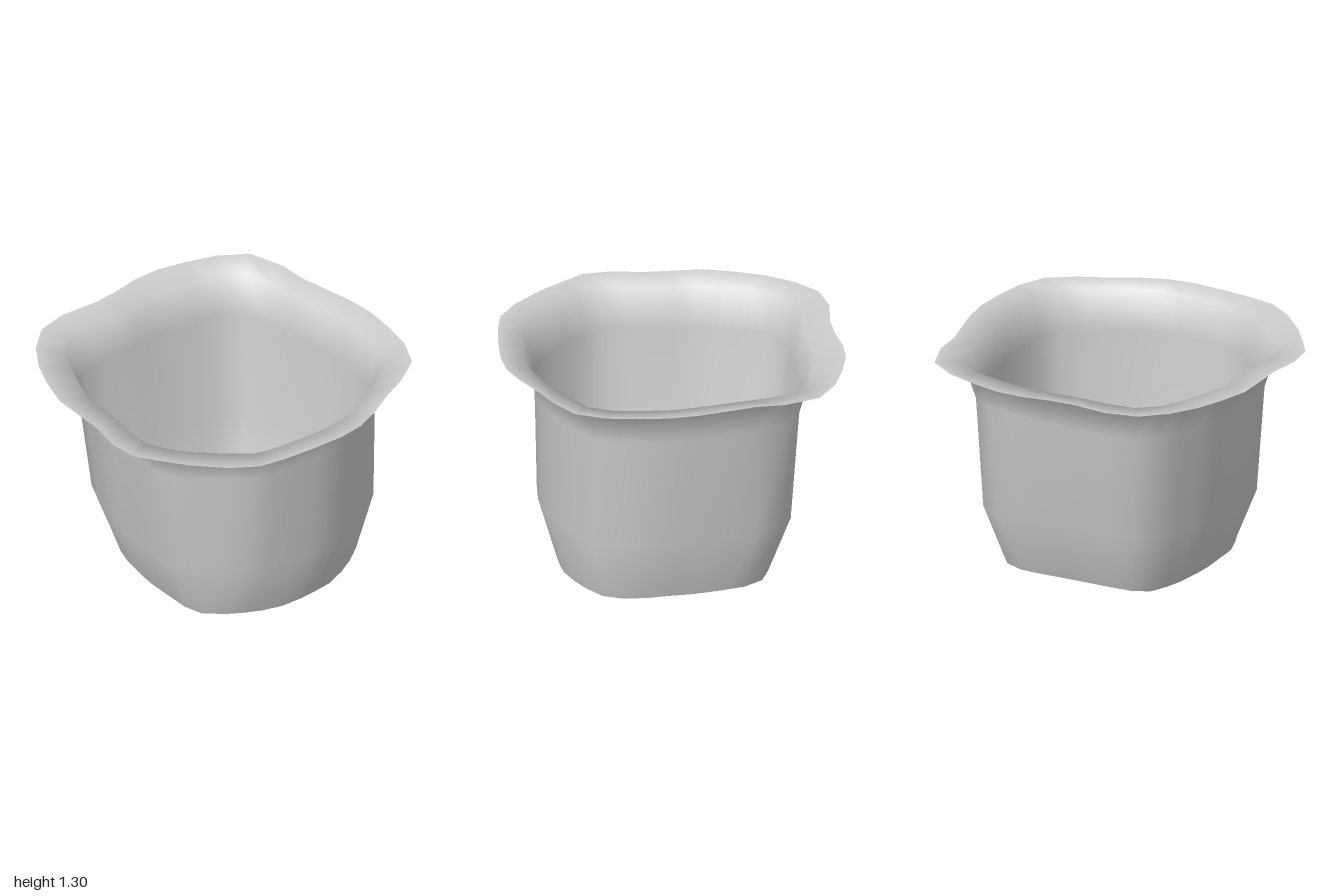
import * as THREE from 'three';

// Outlines as x, z pairs running around the cup
const BASE = [-0.48, -0.52, -0.39, -0.6, -0.19, -0.64, -0.04, -0.66, 0.12, -0.66, 0.28, -0.67, 0.4, -0.65,
  0.5, -0.59, 0.58, -0.45, 0.64, -0.31, 0.66, -0.22, 0.66, 0.04, 0.64, 0.14, 0.59, 0.26, 0.51, 0.39,
  0.4, 0.51, 0.28, 0.54, -0.05, 0.53, -0.34, 0.47, -0.49, 0.39, -0.53, 0.28, -0.52, -0.13, -0.52, -0.4];
const NECK = [-0.57, -0.69, -0.28, -0.75, 0, -0.78, 0.15, -0.79, 0.42, -0.75, 0.56, -0.68, 0.7, -0.42,
  0.78, -0.18, 0.78, -0.02, 0.75, 0.25, 0.71, 0.39, 0.42, 0.69, 0.28, 0.76, 0.14, 0.75, -0.02, 0.73,
  -0.27, 0.71, -0.66, 0.54, -0.76, 0.4, -0.75, 0.08, -0.75, -0.19, -0.66, -0.6];
const RIM = [-0.74, -0.87, -0.53, -0.93, -0.36, -0.93, -0.19, -0.96, -0.02, -0.99, 0.15, -1, 0.33, -0.98,
  0.52, -0.94, 0.69, -0.85, 0.79, -0.68, 0.85, -0.52, 0.93, -0.35, 0.98, -0.2, 0.99, -0.04, 0.97, 0.16,
  0.94, 0.35, 0.9, 0.51, 0.79, 0.66, 0.62, 0.81, 0.47, 0.91, 0.34, 0.99, 0.17, 1, -0.01, 0.96,
  -0.19, 0.95, -0.36, 0.94, -0.53, 0.88, -0.7, 0.8, -0.85, 0.69, -0.97, 0.54, -1, 0.35, -0.97, 0.13,
  -0.97, -0.02, -0.99, -0.19, -0.98, -0.36, -0.93, -0.53, -0.86, -0.71];

// Distance from the axis to an outline in a given direction
function radiusAt(outline, angle) {
  const dx = Math.cos(angle), dz = Math.sin(angle), n = outline.length;
  for (let i = 0; i < n; i += 2) {
    const ax = outline[i], az = outline[i + 1];
    const bx = outline[(i + 2) % n], bz = outline[(i + 3) % n];
    const sideA = dx * az - dz * ax, sideB = dx * bz - dz * bx;
    if (sideA <= 0 && sideB > 0) {
      const t = sideA / (sideA - sideB);
      return (ax + (bx - ax) * t) * dx + (az + (bz - az) * t) * dz;
    }
  }
  return 0;
}

export function createModel() {
  const cup = new THREE.Group();
  cup.name = 'cup';
  const grey = new THREE.MeshStandardMaterial({ color: 0xcccccc, side: THREE.DoubleSide });
  grey.name = 'grey';

  const angles = [];
  for (let i = 0; i < RIM.length; i += 2) angles.push(Math.atan2(RIM[i + 1], RIM[i]));
  const count = angles.length;
  const mix = THREE.MathUtils.lerp;

  // Heights and radii of the cross-sections, from base to rim
  const base = a => radiusAt(BASE, a);
  const neck = a => radiusAt(NECK, a);
  const rim = a => radiusAt(RIM, a - 1e-6);
  const belly = a => mix(base(a), neck(a), 0.78 + 0.12 * Math.cos(a) - 0.085 * Math.sin(a));
  const lip = a => mix(neck(a), rim(a), 0.29);
  const sections = [[0, base], [0.375, belly], [1.05, neck], [1.28, lip], [1.3, rim]];

  // Smooth wall and flared rim
  const positions = [], index = [];
  sections.forEach(([y, radius], s) => angles.forEach((a, i) => {
    const r = radius(a);
    positions.push(r * Math.cos(a), y, r * Math.sin(a));
    if (s === 0) return;
    const next = (i + 1) % count, low = (s - 1) * count, high = s * count;
    index.push(low + i, high + i, low + next, low + next, high + i, high + next);
  }));
  const wallGeometry = new THREE.BufferGeometry();
  wallGeometry.setAttribute('position', new THREE.Float32BufferAttribute(positions, 3));
  wallGeometry.setIndex(index);
  wallGeometry.computeVertexNormals();
  const wall = new THREE.Mesh(wallGeometry, grey);
  wall.name = 'wallAndRim';

  // Flat floor with a sharp edge against the wall
  const outline = angles.map(a => new THREE.Vector2(base(a) * Math.cos(a), base(a) * Math.sin(a)));
  const floor = new THREE.Mesh(new THREE.ShapeGeometry(new THREE.Shape(outline)).rotateX(Math.PI / 2), grey);
  floor.name = 'floor';

  cup.add(wall, floor);
  return cup;
}
